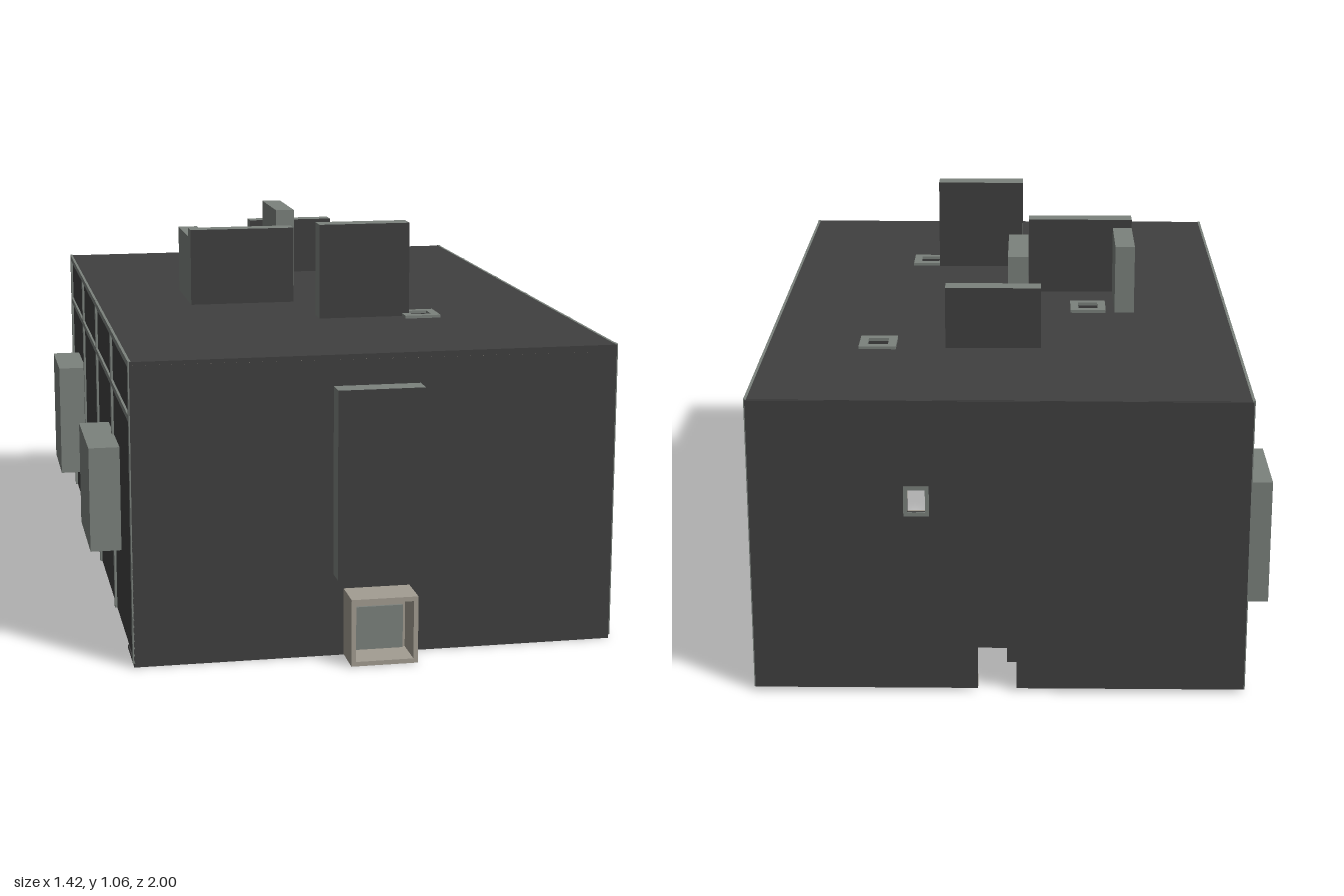
import * as THREE from 'three';

const mat = (name, color, side = THREE.FrontSide) => {
  const m = new THREE.MeshStandardMaterial({ color, side });
  m.name = name;
  return m;
};

export function createModel() {
  const model = new THREE.Group();
  model.name = 'courtyardBlock';
  const dark = mat('charcoal', 0x404040);
  const grey = mat('greenGrey', 0x7c827d);
  const beige = mat('beige', 0xa39d92);

  // Box given by its limits
  function box(name, x0, x1, y0, y1, z0, z1, material, parent = model) {
    const m = new THREE.Mesh(new THREE.BoxGeometry(x1 - x0, y1 - y0, z1 - z0), material);
    m.position.set((x0 + x1) / 2, (y0 + y1) / 2, (z0 + z1) / 2);
    m.name = name;
    parent.add(m);
    return m;
  }
  const path = (pts, Type = THREE.Shape) => new Type(pts.map(p => new THREE.Vector2(...p)));
  const rect = (x, y, w, h) => [[x - w / 2, y - h / 2], [x + w / 2, y - h / 2], [x + w / 2, y + h / 2], [x - w / 2, y + h / 2]];

  // Flat plate with holes, drawn in xy and pushed along z
  function plate(name, outline, holes, depth, material) {
    const s = path(outline);
    s.holes = holes.map(h => path(h, THREE.Path));
    const m = new THREE.Mesh(new THREE.ExtrudeGeometry(s, { depth, bevelEnabled: false }), material);
    m.name = name;
    model.add(m);
    return m;
  }

  const L = -0.635, R = 0.635, B = -0.995, F = 0.897, Y0 = 0.01, Y1 = 0.797;

  // Outer shell and beige lining
  for (const s of [-1, 1]) {
    const lo = Math.min(s * 0.622, s * 0.632), li = Math.min(s * 0.612, s * 0.622);
    box('sideWall', lo, lo + 0.01, Y0, Y1, B, F, dark);
    box('sideLining', li, li + 0.01, Y0, Y1 - 0.01, B + 0.01, F - 0.01, beige);
  }
  box('frontWall', L, R, Y0, Y1, F - 0.01, F, dark);
  box('frontLining', -0.612, 0.612, Y0, Y1 - 0.01, F - 0.02, F - 0.01, beige);

  // Back wall with stepped door notch and small window
  const back = [[L, Y0], [-0.045, Y0], [-0.045, 0.085], [-0.02, 0.085], [-0.02, 0.125], [0.055, 0.125],
    [0.055, Y0], [R, Y0], [R, Y1], [L, Y1]];
  const windowHole = rect(0.21, 0.53, 0.045, 0.06);
  plate('backWall', back, [windowHole], 0.008, dark).position.z = B - 0.003;
  plate('backLining', back, [windowHole], 0.008, beige).position.z = B + 0.005;
  plate('backWindowFrame', rect(0.21, 0.53, 0.065, 0.08), [windowHole], 0.006, grey).position.z = B - 0.006;

  // Roof and ceiling, pierced by three hatches
  const hatches = [[0.335, -0.515], [-0.24, -0.155], [0.235, 0.365]];
  const roofHoles = hatches.map(([x, z]) => rect(x, -z, 0.055, 0.055));
  const roofOutline = [[L, -F], [R, -F], [R, -B], [L, -B]];
  for (const [name, y, d, m] of [['roof', 0.789, 0.009, dark], ['ceiling', 0.78, 0.009, beige]]) {
    const r = plate(name, roofOutline, roofHoles, d, m);
    r.rotation.x = -Math.PI / 2;
    r.position.y = y;
  }
  hatches.forEach(([x, z], i) => {
    const f = plate('roofHatchFrame', rect(x, -z, 0.1, 0.1), [roofHoles[i]], 0.008, grey);
    f.rotation.x = -Math.PI / 2;
    f.position.y = 0.798;
  });

  // Upright slabs on the roof: x0, x1, top, z0, z1
  const darkEnds = [grey, grey, grey, grey, dark, dark];
  box('roofSlab', -0.05, 0.205, 0.79, 1.06, 0.31, 0.37, darkEnds);
  box('roofSlab', -0.37, -0.07, 0.79, 1.015, 0.022, 0.075, darkEnds);
  box('roofSlab', -0.37, -0.315, 0.79, 0.99, -0.2, 0.022, grey);
  box('roofSlab', -0.07, -0.015, 0.79, 1.03, -0.47, -0.22, grey);
  box('roofSlab', -0.105, 0.152, 0.79, 0.965, -0.55, -0.5, darkEnds);

  // Boxed bays standing out of the walls
  box('sideBay', 0.63, 0.71, 0.165, 0.455, -0.26, 0.055, grey);
  box('sideBay', -0.715, -0.63, 0.22, 0.505, 0.265, 0.575, grey);
  box('sideBay', -0.715, -0.63, 0.165, 0.505, -0.785, -0.525, grey);
  box('frontBay', -0.115, 0.112, 0.22, 0.717, 0.89, 0.955, [grey, grey, grey, grey, dark, grey]);

  // Metal strips on the side walls
  const posts = { 1: [0.886, 0.49, 0.065, -0.26, -0.665, -0.985], [-1]: [0.886, 0.41, -0.05, -0.52, -0.985] };
  for (const s of [1, -1]) {
    const x0 = Math.min(s * 0.631, s * 0.638), x1 = x0 + 0.007;
    for (const z of posts[s]) box('sidePost', x0, x1, Y0, Y1 + 0.003, z - 0.011, z + 0.011, grey);
    for (const y of [0.65, 0.791]) box('sideRail', x0, x1, y - 0.008, y + 0.008, B, F, grey);
  }

  // Entrance porch: open box with a door at its back
  box('porchFloor', -0.088, 0.087, 0.002, 0.014, 0.89, 1, beige);
  box('porchRoof', -0.088, 0.087, 0.168, 0.18, 0.89, 1, beige);
  box('porchSide', -0.088, -0.076, 0.014, 0.168, 0.89, 1, beige);
  box('porchSide', 0.075, 0.087, 0.014, 0.168, 0.89, 1, beige);
  box('porchBack', -0.076, 0.075, 0.014, 0.168, 0.89, 0.902, beige);
  box('porchDoor', -0.073, 0.068, 0.014, 0.13, 0.902, 0.908, grey);
  box('frontWalkway', L, R, 0, 0.01, 0.74, F, dark);

  // Inner facade pieces, made facing +z and turned onto a wall
  function onWall(name, wall, along, y) {
    const g = new THREE.Group();
    g.name = name;
    const [x, z, turn] = {
      right: [-0.612, along, Math.PI / 2], left: [0.612, along, -Math.PI / 2],
      front: [along, F - 0.02, Math.PI], back: [along, B + 0.013, 0]
    }[wall];
    g.position.set(x, y, z);
    g.rotation.y = turn;
    model.add(g);
    return g;
  }
  // Louvred window with slats and mullion
  function louvre(wall, along, y, w, h) {
    const g = onWall('louvreWindow', wall, along, y);
    box('louvrePane', -w / 2, w / 2, -h / 2, h / 2, 0, 0.004, dark, g);
    const n = Math.round(h / 0.05);
    for (let i = 0; i <= n; i++) {
      const sy = -h / 2 + h * i / n;
      box('louvreSlat', -w / 2, w / 2, sy - 0.005, sy + 0.005, 0.004, 0.01, grey, g);
    }
    for (const sx of [-w / 2, 0, w / 2]) box('louvreMullion', sx - 0.004, sx + 0.004, -h / 2, h / 2, 0.004, 0.011, grey, g);
  }
  louvre('right', 0.42, 0.36, 0.29, 0.27);
  louvre('right', -0.655, 0.335, 0.25, 0.32);
  louvre('left', -0.1, 0.31, 0.3, 0.28);
  louvre('front', 0, 0.47, 0.22, 0.48);

  // Small balconies with railings
  function balcony(wall, along, y) {
    const g = onWall('balcony', wall, along, y);
    box('balconyWindow', -0.045, 0.045, 0, 0.1, 0, 0.004, dark, g);
    box('balconyFloor', -0.06, 0.06, -0.012, 0, 0, 0.08, beige, g);
    for (const s of [-1, 1]) box('balconySide', s * 0.057 - 0.003, s * 0.057 + 0.003, 0, 0.06, 0, 0.08, grey, g);
    for (let i = 0; i < 5; i++) box('balconyBar', -0.051 + i * 0.024, -0.045 + i * 0.024, 0, 0.054, 0.075, 0.08, grey, g);
    box('balconyRail', -0.06, 0.06, 0.054, 0.062, 0.074, 0.081, grey, g);
  }
  [['right', -0.32, 0.38], ['right', -0.05, 0.32], ['right', 0.1, 0.58], ['right', 0.65, 0.62],
    ['front', -0.37, 0.56], ['left', 0.4, 0.4]].forEach(a => balcony(...a));

  // Thin joints between the facade panels
  for (const y of [0.14, 0.3, 0.46, 0.62]) {
    for (const s of [-1, 1]) box('panelJoint', s * 0.611 - 0.002, s * 0.611 + 0.002, y, y + 0.004, B + 0.015, F - 0.02, grey);
    box('panelJoint', -0.61, 0.61, y, y + 0.004, F - 0.022, F - 0.019, grey);
  }

  // Ceiling vents
  for (const [x, z] of [[-0.47, 0.08], [-0.38, 0.18], [-0.28, 0.28]])
    box('ceilingVent', x - 0.04, x + 0.04, 0.774, 0.781, z - 0.04, z + 0.04, dark);

  return model;
}
